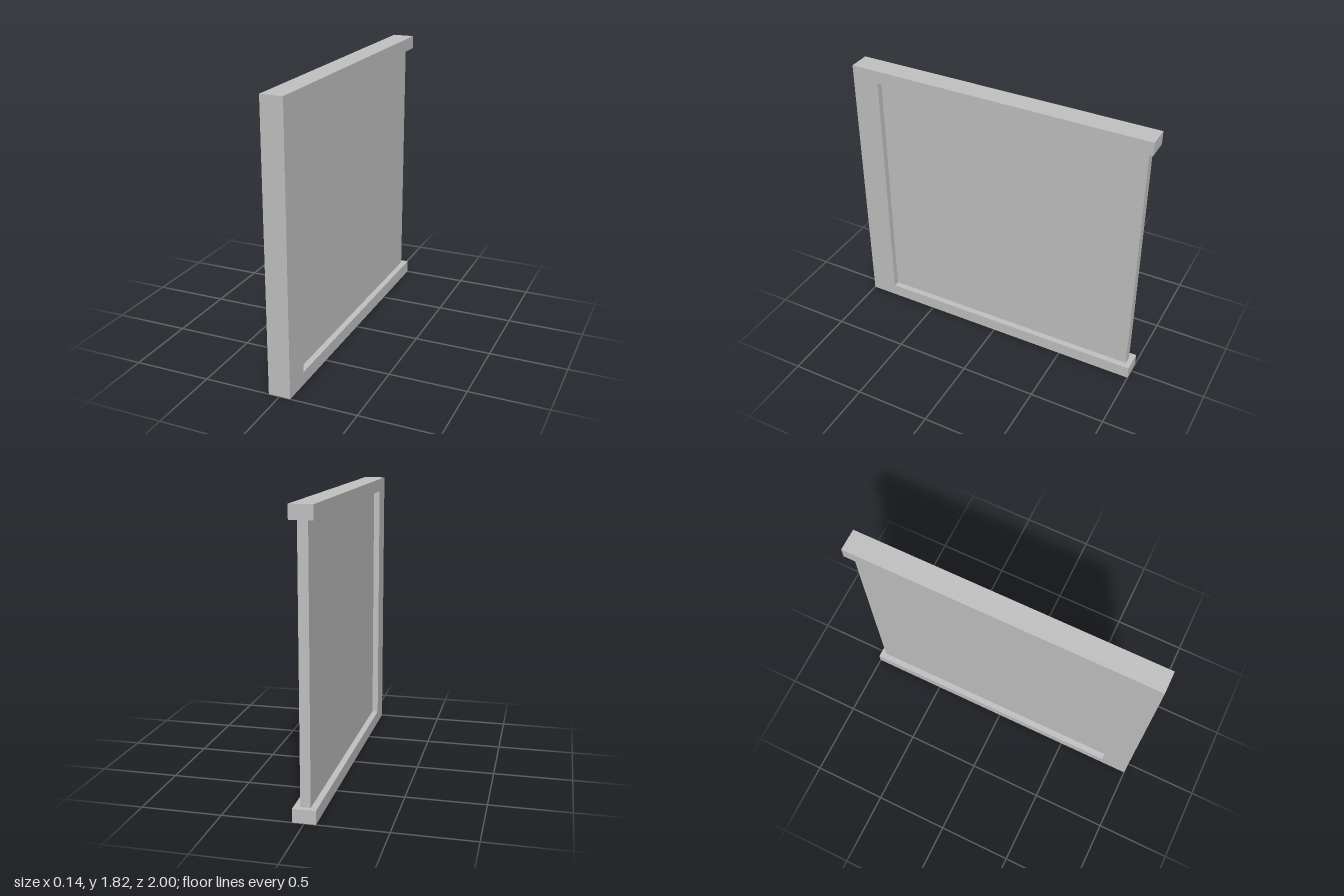
import * as THREE from 'three';

export function createModel() {
  const group = new THREE.Group();
  const grey = new THREE.MeshStandardMaterial({ color: 0xc2c2c2 });
  grey.name = 'light grey';

  const height = 1.82, bar = 0.085, depth = 0.142, postZ = 0.82;

  // C-shaped frame, open at the back: drawn in (z, y), extruded across x
  const outline = new THREE.Shape([
    [-1, 0], [1, 0], [1, height], [-1, height],
    [-1, height - bar], [postZ, height - bar], [postZ, bar], [-1, bar],
  ].map(([z, y]) => new THREE.Vector2(-z, y)));
  const frameGeo = new THREE.ExtrudeGeometry(outline, { depth, bevelEnabled: false });
  frameGeo.translate(0, 0, -depth / 2);
  frameGeo.rotateY(Math.PI / 2);
  const frame = new THREE.Mesh(frameGeo, grey);
  frame.name = 'frame';
  group.add(frame);

  // Thin panel held between the bars, stopping just short of their ends
  const backZ = -0.965;
  const panel = new THREE.Mesh(
    new THREE.BoxGeometry(0.062, height - 2 * bar, postZ - backZ), grey);
  panel.position.set(0, height / 2, (postZ + backZ) / 2);
  panel.name = 'panel';
  group.add(panel);

  return group;
}
